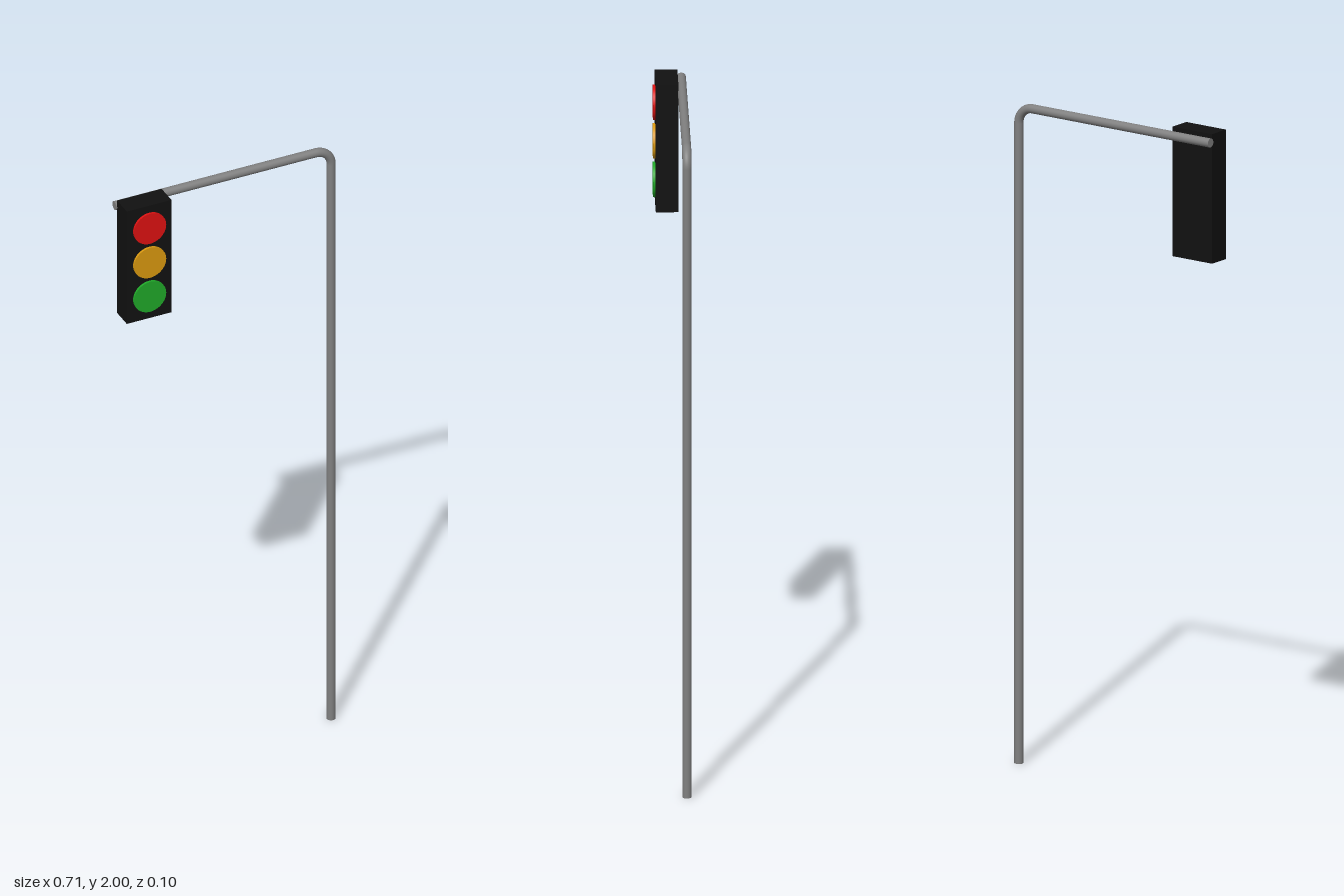
import * as THREE from 'three';

export function createModel() {
  const model = new THREE.Group();
  const add = (name, geometry, color, x, y, z, parent = model) => {
    const mesh = new THREE.Mesh(geometry, new THREE.MeshStandardMaterial({ color }));
    mesh.name = name;
    mesh.position.set(x, y, z);
    parent.add(mesh);
    return mesh;
  };

  // Bent pole: upright, quarter bend and horizontal arm
  const grey = 0x808080;
  const r = 0.0135, bend = 0.05;
  const poleX = 0.343, armY = 1.976, poleZ = -0.0365, armEnd = -0.357;
  const pole = new THREE.Group();
  pole.name = 'pole';
  model.add(pole);

  const uprightH = armY - bend;
  add('upright', new THREE.CylinderGeometry(r, r, uprightH, 24), grey, poleX, uprightH / 2, poleZ, pole);
  add('bend', new THREE.TorusGeometry(bend, r, 24, 16, Math.PI / 2), grey, poleX - bend, uprightH, poleZ, pole);
  const armL = poleX - bend - armEnd;
  const arm = add('arm', new THREE.CylinderGeometry(r, r, armL, 24), grey, armEnd + armL / 2, armY, poleZ, pole);
  arm.rotation.z = Math.PI / 2;

  // Signal housing hung on the front of the arm
  const signalX = -0.282, front = 0.041, back = -0.025;
  add('housing', new THREE.BoxGeometry(0.144, 0.39, front - back), 0x111111, signalX, 1.805, (front + back) / 2);

  // Three round lamps standing slightly proud of the housing
  const lamps = [['redLamp', 0xdd1111], ['amberLamp', 0xd9980f], ['greenLamp', 0x1fa828]];
  lamps.forEach(([name, color], i) => {
    const lamp = add(name, new THREE.CylinderGeometry(0.052, 0.052, 0.014, 40), color, signalX, 1.924 - i * 0.118, front);
    lamp.rotation.x = Math.PI / 2;
  });

  return model;
}
